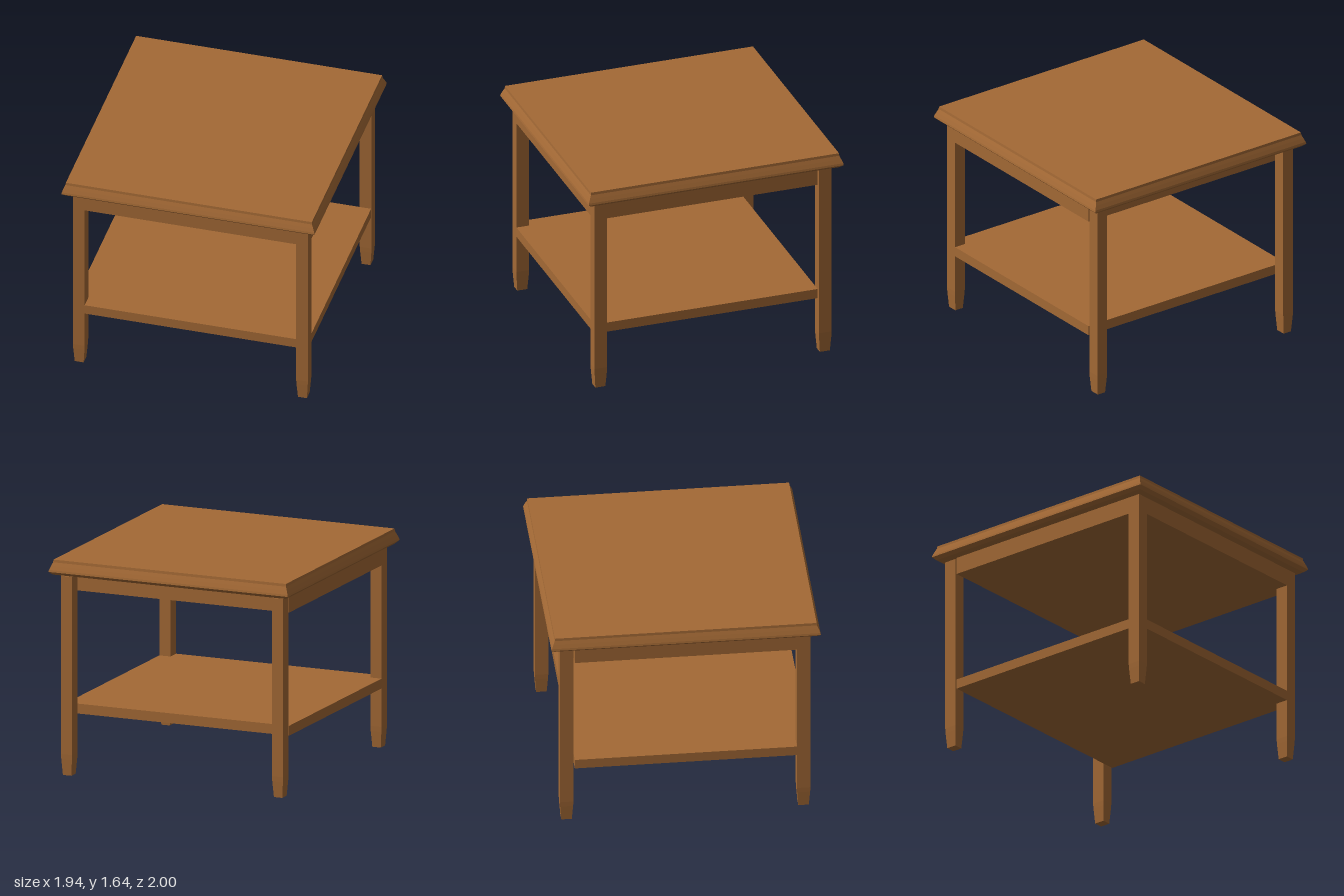
import * as THREE from 'three';

const CORNERS = [[1, 1], [1, -1], [-1, -1], [-1, 1]];

// Solid through rectangular cross-sections [halfX, halfZ, y], listed bottom to top
function loftRectangles(sections) {
  const rings = sections.map(([hx, hz, y]) => CORNERS.map(([sx, sz]) => [sx * hx, y, sz * hz]));
  const positions = [];
  const quad = (a, b, c, d) => positions.push(...a, ...b, ...c, ...a, ...c, ...d);
  for (let r = 0; r < rings.length - 1; r++) {
    for (let i = 0; i < 4; i++) {
      const j = (i + 1) % 4;
      quad(rings[r][i], rings[r][j], rings[r + 1][j], rings[r + 1][i]);
    }
  }
  const [b0, b1, b2, b3] = rings[0];
  quad(b3, b2, b1, b0);
  quad(...rings[rings.length - 1]);
  const geometry = new THREE.BufferGeometry();
  geometry.setAttribute('position', new THREE.Float32BufferAttribute(positions, 3));
  geometry.computeVertexNormals();
  return geometry;
}

// Board notched around the front legs and stopping just short of the back legs
function notchedBoard(bottom, top) {
  const outline = [
    [-0.81, -0.93], [0.81, -0.93], [0.81, -0.83], [0.9, -0.83],
    [0.9, 0.82], [-0.9, 0.82], [-0.9, -0.83], [-0.81, -0.83],
  ];
  const shape = new THREE.Shape(outline.map(([x, y]) => new THREE.Vector2(x, y)));
  const geometry = new THREE.ExtrudeGeometry(shape, { depth: top - bottom, bevelEnabled: false });
  geometry.rotateX(-Math.PI / 2);
  geometry.translate(0, bottom, 0);
  return geometry;
}

export function createModel() {
  const table = new THREE.Group();
  table.name = 'sideTable';
  const wood = new THREE.MeshStandardMaterial({ color: 0xa36935 });
  wood.name = 'brown wood';

  const add = (name, geometry, x = 0, z = 0) => {
    const mesh = new THREE.Mesh(geometry, wood);
    mesh.name = name;
    mesh.position.set(x, 0, z);
    table.add(mesh);
  };

  // Tabletop with a moulded edge, floating a hair above the frame
  const edgeProfile = [
    [0.945, 1.527], [0.97, 1.55], [0.967, 1.565], [0.955, 1.595], [0.944, 1.62], [0.942, 1.64],
  ];
  add('tabletop', loftRectangles(edgeProfile.map(([h, y]) => [h, h + 0.03, y])));

  // Solid frame under the top, and the lower shelf
  add('apron', notchedBoard(1.386, 1.517));
  add('shelf', notchedBoard(0.452, 0.527));

  // Square legs with tapered feet
  for (const [side, sx] of [['Left', 1], ['Right', -1]]) {
    for (const [end, sz, top] of [['front', 1, 1.517], ['back', -1, 1.512]]) {
      const leg = loftRectangles([
        [0.034, 0.039, 0], [0.043, 0.048, 0.12], [0.045, 0.05, 0.16], [0.045, 0.05, top],
      ]);
      add(`${end}${side}Leg`, leg, sx * 0.855, sz * 0.88);
    }
  }
  return table;
}
